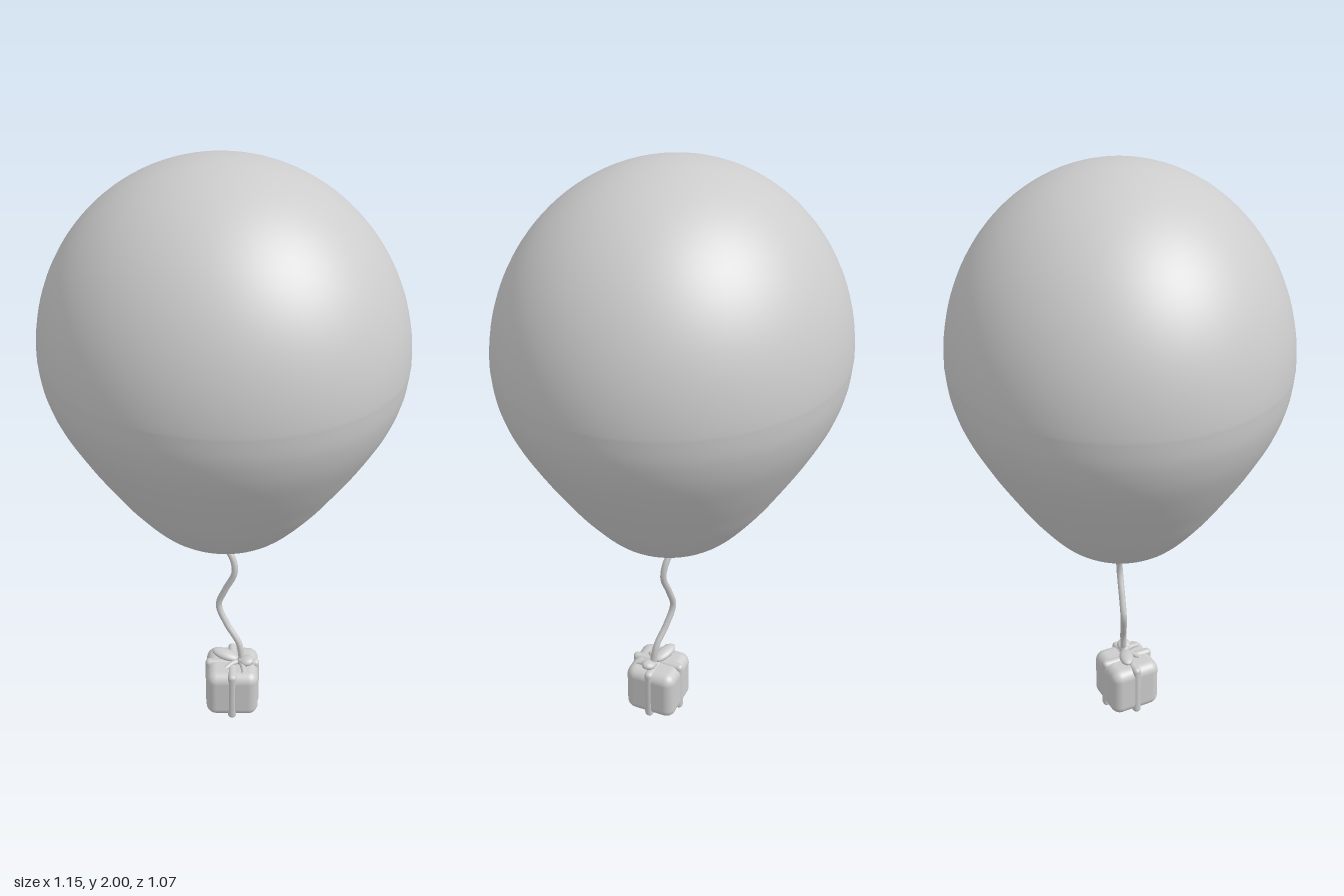
import * as THREE from 'three';
import { RoundedBoxGeometry } from 'three/addons/geometries/RoundedBoxGeometry.js';

export function createModel() {
  const model = new THREE.Group();
  model.name = 'balloonWithGift';
  const grey = new THREE.MeshStandardMaterial({ color: 0xcccccc });
  grey.name = 'plain grey';

  function add(parent, name, geometry, x = 0, y = 0, z = 0) {
    const mesh = new THREE.Mesh(geometry, grey);
    mesh.name = name;
    mesh.position.set(x, y, z);
    parent.add(mesh);
    return mesh;
  }
  const curve = (points) =>
    new THREE.CatmullRomCurve3(points.map((p) => new THREE.Vector3(...p)));

  // Balloon skin: tapered lower spline, then a half-ellipse dome
  const lower = new THREE.SplineCurve([
    [0.048, 0.695], [0.068, 0.715], [0.125, 0.737], [0.225, 0.79], [0.325, 0.9],
    [0.4, 1.005], [0.465, 1.105], [0.528, 1.22], [0.562, 1.32], [0.573, 1.41],
  ].map((p) => new THREE.Vector2(...p)));
  const profile = lower.getPoints(50);
  for (let i = 1; i <= 32; i++) {
    const a = (i / 32) * Math.PI / 2;
    profile.push(new THREE.Vector2(i === 32 ? 0 : 0.573 * Math.cos(a), 1.41 + 0.59 * Math.sin(a)));
  }
  add(model, 'balloon', new THREE.LatheGeometry(profile, 80)).scale.z = 0.933;

  // Tied neck under the balloon
  const neck = [[0, 0.667], [0.03, 0.668], [0.038, 0.674], [0.043, 0.688], [0.052, 0.7], [0.07, 0.716]];
  add(model, 'neck', new THREE.LatheGeometry(neck.map((p) => new THREE.Vector2(...p)), 32));

  // Wavy string
  const string = curve([
    [0, 0.68, 0], [0.037, 0.625, 0.003], [0.045, 0.57, 0.006], [0.012, 0.49, 0.01],
    [-0.01, 0.42, 0.013], [0.022, 0.345, 0.017], [0.068, 0.275, 0.021], [0.083, 0.195, 0.025],
  ]);
  add(model, 'string', new THREE.TubeGeometry(string, 80, 0.011, 12));

  // Gift box, turned a little to its left
  const gift = new THREE.Group();
  gift.name = 'gift';
  gift.position.set(0.048, 0.101, 0.031);
  gift.rotation.y = 0.35;
  model.add(gift);
  add(gift, 'box', new RoundedBoxGeometry(0.184, 0.186, 0.184, 6, 0.035));
  add(gift, 'ribbonAcross', new RoundedBoxGeometry(0.192, 0.198, 0.03, 4, 0.014));
  add(gift, 'ribbonAlong', new RoundedBoxGeometry(0.03, 0.198, 0.192, 4, 0.014));

  // Bow: knot, a large and a small loop, and two short tails
  const bow = new THREE.Group();
  bow.name = 'bow';
  bow.position.set(0.075, 0.2, 0.027);
  model.add(bow);
  add(bow, 'knot', new THREE.SphereGeometry(0.018, 20, 14), 0.008, 0.002, 0);
  const loops = [['largeLoop', -0.055, 0.013, 0.05, 0.15], ['smallLoop', 0.025, 0.007, 0.027, -0.2]];
  for (const [name, x, y, length, tilt] of loops) {
    const loop = add(bow, name, new THREE.SphereGeometry(1, 24, 16), x, y, 0);
    loop.scale.set(length, 0.016, 0.025);
    loop.rotation.z = -tilt;
  }
  for (const side of [-1, 1]) {
    const tail = curve([[0, 0, 0], [side * 0.02, 0, 0.025], [side * 0.035, -0.006, 0.05]]);
    add(bow, side < 0 ? 'rightTail' : 'leftTail', new THREE.TubeGeometry(tail, 12, 0.009, 10));
  }
  return model;
}
